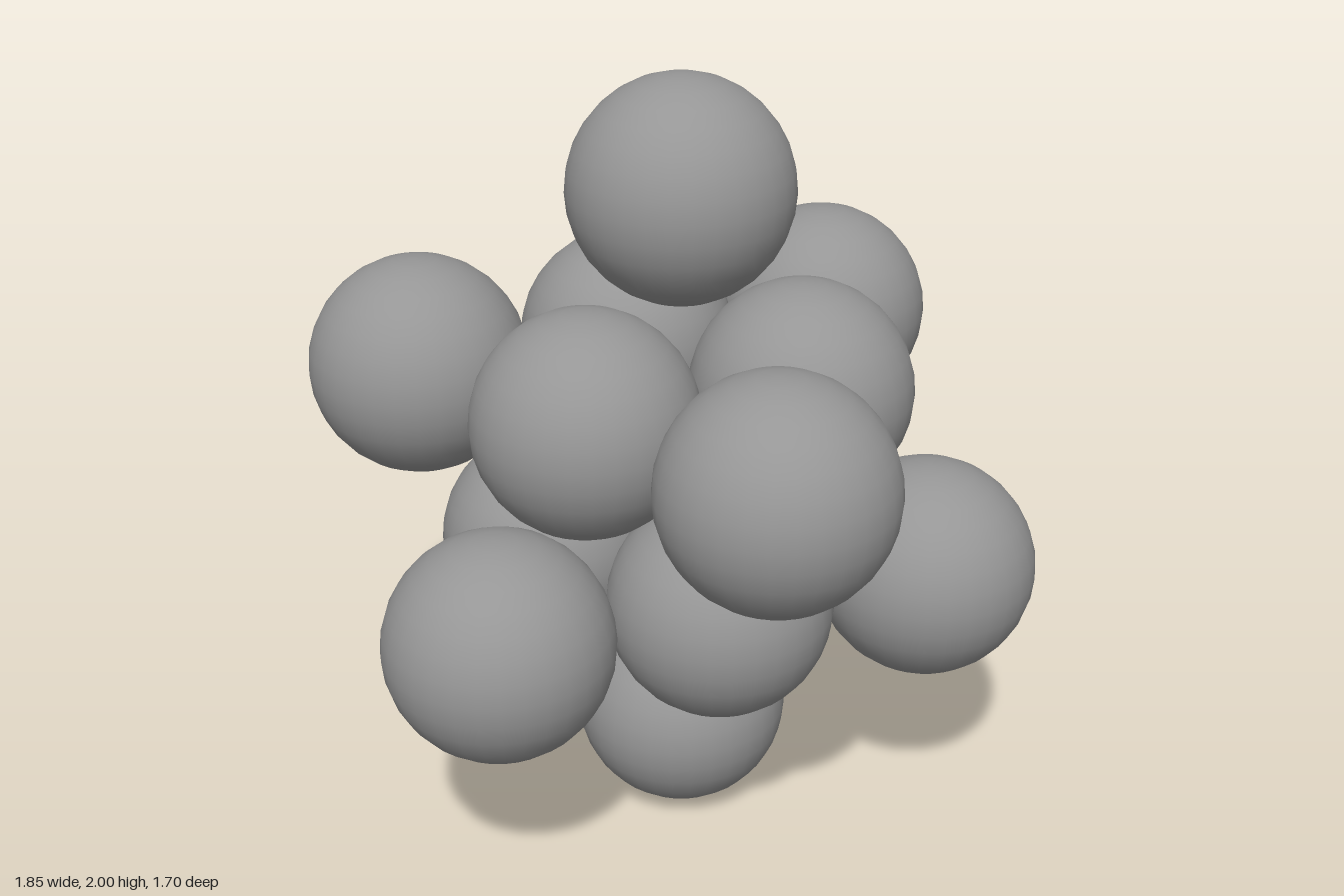
import * as THREE from 'three';

const RADIUS = 0.28;

export function createModel() {
  const model = new THREE.Group();
  model.name = 'spherePacking';
  const material = new THREE.MeshStandardMaterial({ color: 0x969696 });
  const geometry = new THREE.SphereGeometry(RADIUS, 32, 16);

  function addBall(parent, name, x, y, z) {
    const ball = new THREE.Mesh(geometry, material);
    ball.name = name;
    ball.position.set(x, y, z);
    parent.add(ball);
  }

  // Triangular layer of six balls: a row of three, then two, then the tip.
  // dir is the x direction in which the triangle points.
  function addLayer(name, y, startX, dir, startZ, driftZ) {
    const layer = new THREE.Group();
    layer.name = name;
    for (let row = 0; row < 3; row++) {
      const count = 3 - row;
      for (let i = 0; i < count; i++) {
        const x = startX + dir * 0.483 * row;
        const z = startZ + driftZ * row + (i - (count - 1) / 2) * 0.567;
        addBall(layer, `${name}Ball`, x, y, z);
      }
    }
    model.add(layer);
  }

  // Single balls at the poles
  addBall(model, 'bottomBall', 0.032, RADIUS, 0.006);
  addBall(model, 'topBall', 0.032, 2 - RADIUS, 0.001);

  // Two opposed triangular layers in between
  addLayer('lowerLayer', 0.772, 0.318, -1, 0.003, 0.001);
  addLayer('upperLayer', 1.23, -0.321, 1, -0.001, -0.003);

  return model;
}
